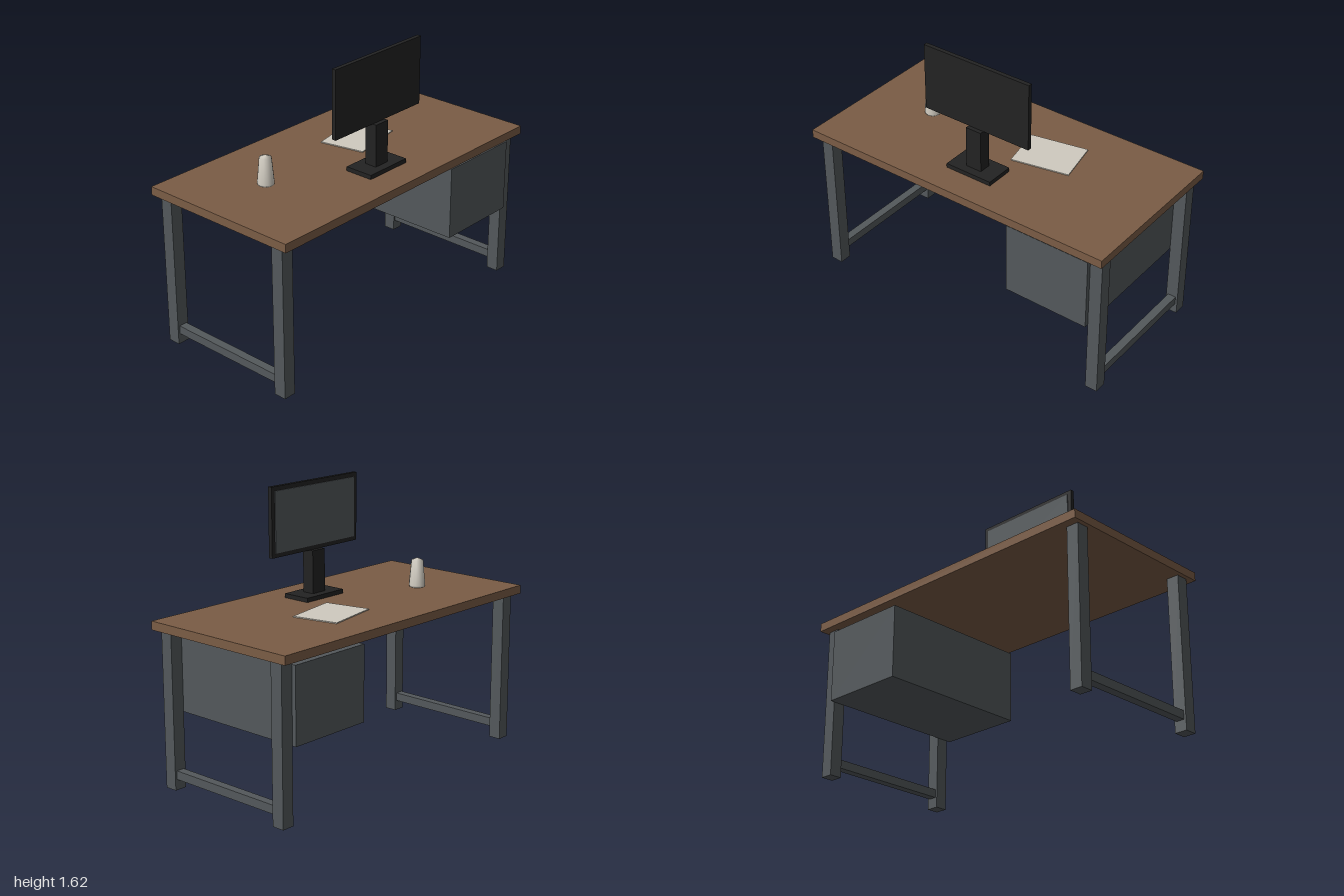
import * as THREE from 'three';

const mat = (name, color) => {
  const m = new THREE.MeshStandardMaterial({ color });
  m.name = name;
  return m;
};

export function createModel() {
  const desk = new THREE.Group();
  desk.name = 'desk';
  const wood = mat('wood', 0x7a5c45);
  const steel = mat('greySteel', 0x53585b);
  const black = mat('blackPlastic', 0x222222);
  const white = mat('offWhite', 0xcfcabf);

  // Box given by its extents along each axis
  const box = (name, material, [x0, x1], [y0, y1], [z0, z1]) => {
    const mesh = new THREE.Mesh(new THREE.BoxGeometry(x1 - x0, y1 - y0, z1 - z0), material);
    mesh.position.set((x0 + x1) / 2, (y0 + y1) / 2, (z0 + z1) / 2);
    mesh.name = name;
    desk.add(mesh);
    return mesh;
  };

  // Table top and the drawer cabinet below it
  box('tableTop', wood, [-1, 1], [0.9, 0.95], [-0.5, 0.5]);
  box('cabinet', steel, [0.375, 0.9], [0.44, 0.875], [-0.475, 0.475]);

  // Two leg frames, each with a low crossbar
  for (const s of [-1, 1]) {
    const side = s > 0 ? 'left' : 'right';
    const x = s * 0.9375;
    for (const t of [-1, 1]) {
      const z = t * 0.4125;
      box(`${side}${t > 0 ? 'Front' : 'Back'}Leg`, steel,
        [x - 0.0375, x + 0.0375], [0, 0.9], [z - 0.0375, z + 0.0375]);
    }
    box(`${side}Crossbar`, steel, [x - 0.025, x + 0.025], [0.0625, 0.1125], [-0.375, 0.375]);
  }

  // Monitor, with its screen towards the back
  box('monitorBase', black, [-0.15, 0.15], [0.95, 0.975], [0.15, 0.325]);
  box('monitorNeck', black, [-0.05, 0.05], [0.975, 1.225], [0.2, 0.275]);
  box('monitorCase', black, [-0.35, 0.35], [1.225, 1.625], [0.225, 0.25]);
  box('monitorScreen', steel, [-0.325, 0.325], [1.25, 1.6], [0.22, 0.225]);

  // Sheet of paper, turned on the table
  const paper = box('paper', white, [0.06, 0.41], [0.95, 0.956], [-0.25, 0.025]);
  paper.rotation.y = 0.2;

  // Tapered cup with a shallow pointed top
  const profile = [[0, 0], [0.045, 0], [0.049, 0.012], [0.035, 0.16], [0, 0.175]]
    .map(([r, y]) => new THREE.Vector2(r, y));
  const cupGeometry = new THREE.LatheGeometry(profile, 12);
  const cup = new THREE.Mesh(cupGeometry, white);
  cup.name = 'cup';
  cup.position.set(-0.567, 0.95, -0.0625);
  desk.add(cup);

  return desk;
}
